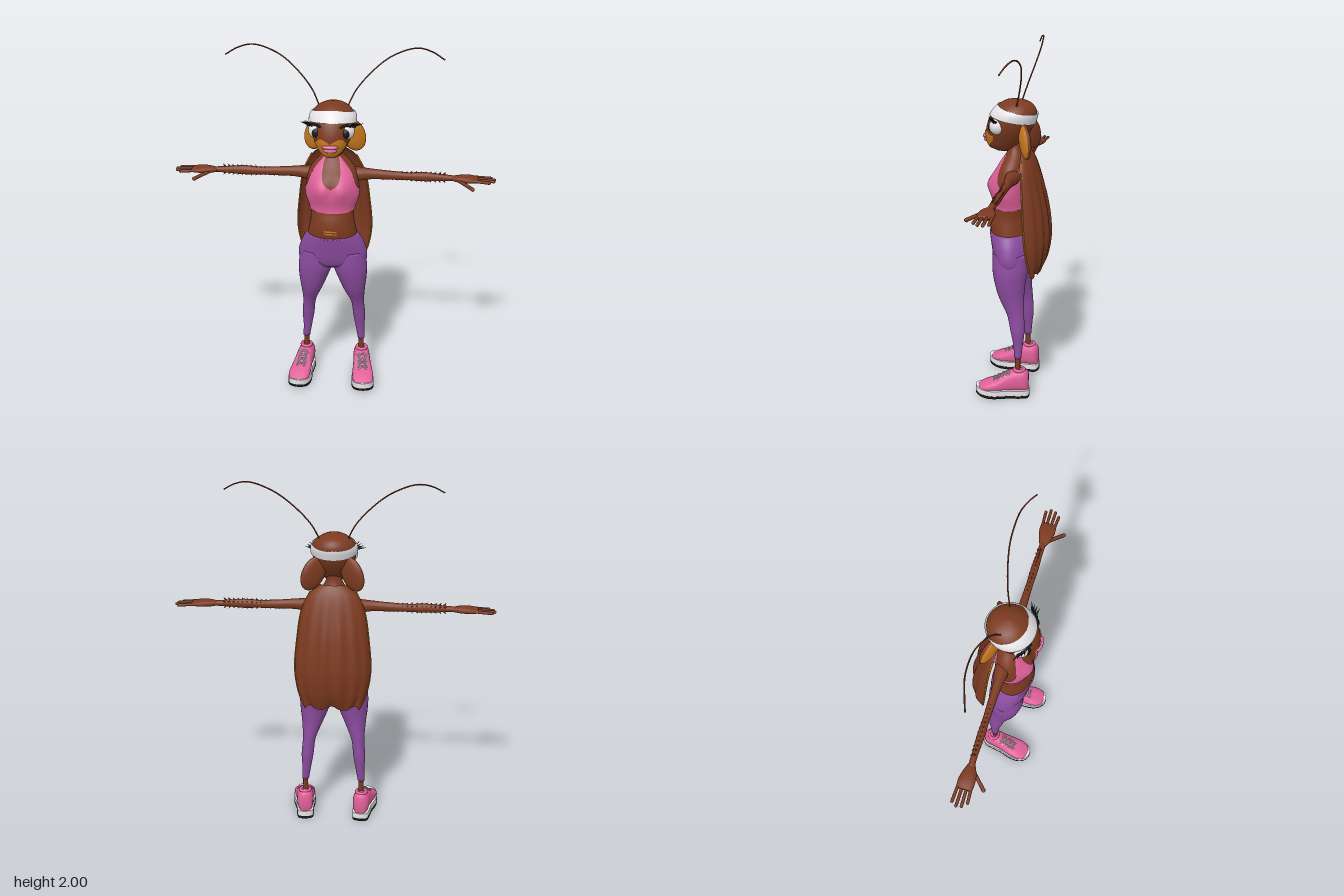
import * as THREE from 'three';

const mat = (name, color, side = THREE.FrontSide) => {
  const m = new THREE.MeshStandardMaterial({ color, side });
  m.name = name;
  return m;
};
const V = (x, y, z) => new THREE.Vector3(x, y, z);

// Smooth interpolation through rows of [position, ...values]
function sample(keys, t) {
  const n = keys.length;
  let i = 0;
  while (i < n - 2 && t > keys[i + 1][0]) i++;
  const a = keys[i], b = keys[i + 1], p = keys[Math.max(0, i - 1)], q = keys[Math.min(n - 1, i + 2)];
  const h = b[0] - a[0], u = THREE.MathUtils.clamp((t - a[0]) / h, 0, 1);
  return a.slice(1).map((v, k) => {
    const ma = (b[k + 1] - p[k + 1]) / (b[0] - p[0]), mb = (q[k + 1] - a[k + 1]) / (q[0] - a[0]);
    const u2 = u * u, u3 = u2 * u;
    return (2 * u3 - 3 * u2 + 1) * v + (u3 - 2 * u2 + u) * h * ma +
      (3 * u2 - 2 * u3) * b[k + 1] + (u3 - u2) * h * mb;
  });
}

// Body surface from keys [y, centreX, radiusX, zBack, zFront]; angle PI/2 is the front
const surface = (keys, p = 1, bump = null) => (y, a, off = 0) => {
  const [cx, rx, zb, zf] = sample(keys, y);
  const pw = (c) => Math.sign(c) * Math.abs(c) ** p;
  const v = V(cx + (rx + off) * pw(Math.cos(a)), y, (zb + zf) / 2 + ((zf - zb) / 2 + off) * pw(Math.sin(a)));
  if (bump) v.z += bump(v, Math.sin(a));
  return v;
};

function grid(fn, nu, nv, closed) {
  const pos = [], idx = [], cols = closed ? nv : nv + 1;
  for (let i = 0; i <= nu; i++) for (let j = 0; j < cols; j++) pos.push(...fn(i / nu, j / nv, i).toArray());
  for (let i = 0; i < nu; i++) for (let j = 0; j < nv; j++) {
    const k = (j + 1) % cols, a = i * cols + j, b = a + cols, c = i * cols + k, d = c + cols;
    idx.push(a, b, c, c, b, d);
  }
  const g = new THREE.BufferGeometry();
  g.setAttribute('position', new THREE.Float32BufferAttribute(pos, 3));
  g.setIndex(idx);
  g.computeVertexNormals();
  return g;
}

// Closed, capped body
function loft(keys, nu = 24, nv = 24, p = 1, bump = null) {
  const s = surface(keys, p, bump), y0 = keys[0][0], y1 = keys[keys.length - 1][0];
  return grid((u, v, i) => {
    const y = y0 + (y1 - y0) * THREE.MathUtils.clamp((i - 1) / (nu - 2), 0, 1);
    if (i > 0 && i < nu) return s(y, v * Math.PI * 2);
    return s(y, 0).add(s(y, Math.PI)).multiplyScalar(0.5);
  }, nu, nv, true);
}

// Thin layer lying on a surface between two edge curves
const layer = (s, a0, a1, low, high, off, nu = 10, nv = 64) => grid((u, v) => {
  const a = a0 + (a1 - a0) * v, lo = low(a);
  return s(lo + (high(a) - lo) * u, a, off);
}, nu, nv, false);

function add(parent, name, geo, material) {
  const m = new THREE.Mesh(geo, material);
  m.name = name;
  parent.add(m);
  return m;
}
const ball = (x, y, z, rx, ry, rz) => new THREE.SphereGeometry(1, 24, 16).scale(rx, ry, rz).translate(x, y, z);
function between(geo, a, b) {
  const q = new THREE.Quaternion().setFromUnitVectors(V(0, 1, 0), b.clone().sub(a).normalize());
  return geo.applyQuaternion(q).translate((a.x + b.x) / 2, (a.y + b.y) / 2, (a.z + b.z) / 2);
}
const rod = (a, b, r) => between(new THREE.CapsuleGeometry(r, a.distanceTo(b), 4, 10), a, b);
const spike = (a, b, r) => between(new THREE.ConeGeometry(r, a.distanceTo(b), 6), a, b);
const tube = (pts, r, n = 24) => new THREE.TubeGeometry(new THREE.CatmullRomCurve3(pts), n, r, 6);

// Copy of a group reflected across x = 0
function mirrored(group, name) {
  const out = new THREE.Group();
  out.name = name;
  group.updateMatrixWorld(true);
  group.traverse((m) => {
    if (!m.isMesh) return;
    const g = m.geometry.clone().applyMatrix4(m.matrixWorld).scale(-1, 1, 1);
    const src = g.index ? Array.from(g.index.array) : Array.from({ length: g.attributes.position.count }, (_, i) => i);
    for (let i = 0; i < src.length; i += 3) [src[i], src[i + 1]] = [src[i + 1], src[i]];
    g.setIndex(src);
    add(out, m.name, g, m.material);
  });
  return out;
}

export function createModel() {
  const model = new THREE.Group();
  const brown = mat('brown', 0x7c3a20, THREE.DoubleSide), orange = mat('orange', 0xc87a1e, THREE.DoubleSide);
  const pink = mat('pink', 0xe0609a, THREE.DoubleSide), purple = mat('purple', 0x8b4b9e);
  const white = mat('white', 0xe6e4e6, THREE.DoubleSide), black = mat('black', 0x1a1818), lip = mat('lipPink', 0xd9709f);
  const PI = Math.PI;

  // Torso and neck
  const torsoKeys = [[0.9, 0, 0.15, -0.08, 0.13], [1.0, 0, 0.132, -0.07, 0.145], [1.06, 0, 0.121, -0.06, 0.138],
    [1.12, 0, 0.122, -0.058, 0.122], [1.2, 0, 0.144, -0.06, 0.132], [1.28, 0, 0.143, -0.065, 0.125],
    [1.34, 0, 0.128, -0.062, 0.1], [1.38, 0, 0.1, -0.055, 0.078], [1.42, 0, 0.062, -0.045, 0.05],
    [1.46, 0, 0.042, -0.035, 0.042], [1.52, 0, 0.04, -0.035, 0.045]];
  const bust = (v, s) => s <= 0 ? 0 : 0.024 * s *
    Math.exp(-(((Math.abs(v.x) - 0.065) / 0.05) ** 2) - ((v.y - 1.245) / 0.05) ** 2);
  const torso = surface(torsoKeys, 1, bust);
  add(model, 'torso', loft(torsoKeys, 48, 40, 1, bust), brown);

  // Sports top: hem and scooped neckline with armholes and straps
  const neckline = [[0, 1.235], [0.45, 1.27], [0.8, 1.4], [1.05, 1.415], [1.25, 1.3], [PI / 2, 1.255]];
  const backline = [[0, 1.235], [0.45, 1.27], [0.8, 1.39], [1.1, 1.405], [1.3, 1.36], [PI / 2, 1.34]];
  const topEdge = (a) => sample(Math.sin(a) > 0 ? neckline : backline, Math.asin(Math.min(1, Math.abs(Math.sin(a)))))[0];
  add(model, 'sportsTop', layer(torso, 0, PI * 2, () => 1.112, topEdge, 0.006, 24, 96), pink);
  for (const y of [0.995, 1.01])
    add(model, 'bellyMark', layer(torso, PI / 2 - 0.26, PI / 2 + 0.26, () => y - 0.004, () => y + 0.004, 0.004, 1, 12), orange);

  // Leggings hips
  add(model, 'leggingsHips', loft([[0.75, 0, 0.1, -0.06, 0.06], [0.775, 0, 0.175, -0.085, 0.1],
    [0.82, 0, 0.197, -0.095, 0.122], [0.9, 0, 0.18, -0.092, 0.138], [0.965, 0, 0.145, -0.08, 0.149]], 24, 40), purple);

  // Head
  const headKeys = [[1.43, 0, 0.03, 0.03, 0.11], [1.45, 0, 0.058, 0, 0.145], [1.5, 0, 0.088, -0.05, 0.165],
    [1.55, 0, 0.11, -0.085, 0.165], [1.6, 0, 0.121, -0.105, 0.152], [1.65, 0, 0.118, -0.113, 0.127],
    [1.69, 0, 0.085, -0.09, 0.09], [1.71, 0, 0.048, -0.05, 0.055], [1.718, 0, 0.015, -0.012, 0.02]];
  const head = surface(headKeys);
  add(model, 'head', loft(headKeys, 40, 40), brown);
  const bandLow = (a) => 1.61 + 0.024 * Math.sin(a);
  add(model, 'headband', layer(head, 0, PI * 2, bandLow, (a) => bandLow(a) + 0.056, 0.008), white);
  add(model, 'muzzle', layer(head, PI / 2 - 1.05, PI / 2 + 1.05, (a) => 1.435 + 0.06 * Math.abs((a - PI / 2) / 1.05) ** 2,
    (a) => 1.525 + 0.025 * Math.sin(Math.min(1, Math.abs(a - PI / 2) / 0.9) * PI), 0.005, 10, 24), orange);
  add(model, 'upperLip', ball(0, 1.51, 0.165, 0.045, 0.012, 0.02), lip);
  add(model, 'lowerLip', ball(0, 1.49, 0.16, 0.036, 0.014, 0.02), lip);

  // Folded wings: ribbed shell hanging from the shoulders
  const wingKeys = [[0.74, 0.16, -0.115, -0.145], [0.82, 0.192, -0.1, -0.178], [0.95, 0.213, -0.085, -0.196],
    [1.13, 0.2, -0.072, -0.178], [1.3, 0.172, -0.06, -0.135], [1.4, 0.125, -0.048, -0.1], [1.44, 0.07, -0.04, -0.075]];
  const wing = (y, a) => {
    const [w, zs, zb] = sample(wingKeys, y);
    const rib = 0.006 * Math.cos(a * 14) * THREE.MathUtils.clamp((1.4 - y) * 3, 0, 1);
    const drop = y < 0.82 ? 0.012 * Math.cos(a * 7) * (0.82 - y) / 0.08 : 0;
    return V(w * Math.sin(a), y + drop, zs + (zb - zs) * Math.cos(a) + rib * Math.cos(a));
  };
  add(model, 'wings', grid((u, v) => wing(0.74 + 0.7 * u, (v - 0.5) * PI), 30, 72, false), brown);

  const left = new THREE.Group();
  left.name = 'leftSide';

  add(left, 'wingEdge', tube([0.75, 0.82, 0.95, 1.13, 1.3, 1.4].map((y) => wing(y, PI / 2)), 0.005), orange);

  // Eye and lashes
  add(left, 'eye', ball(0.08, 1.578, 0.087, 0.045, 0.046, 0.045), white);
  add(left, 'pupil', ball(0.079, 1.574, 0.112, 0.026, 0.03, 0.027), black);
  add(left, 'lashLine', tube([V(0.04, 1.6, 0.133), V(0.07, 1.618, 0.128), V(0.1, 1.618, 0.115), V(0.127, 1.605, 0.09)], 0.007, 12), black);
  for (let i = 0; i < 4; i++)
    add(left, 'eyelash', spike(V(0.1 + i * 0.009, 1.61, 0.11 - i * 0.008),
      V(0.135 + i * 0.012, 1.645 - i * 0.009, 0.125 - i * 0.018), 0.007), black);

  // Antenna
  add(left, 'antenna', tube([V(0.075, 1.68, -0.015), V(0.12, 1.77, -0.04), V(0.21, 1.873, -0.068), V(0.31, 1.95, -0.083),
    V(0.44, 1.996, -0.075), V(0.52, 1.982, -0.052), V(0.585, 1.947, -0.03)], 0.004, 40), brown);

  // Rounded lobe behind the head, orange inside
  const lobe = new THREE.Group();
  lobe.name = 'headLobe';
  lobe.position.set(0.105, 1.507, -0.07);
  lobe.rotation.set(0, 0.5, 0.5);
  add(lobe, 'lobeOutside', ball(0, 0, 0, 0.068, 0.1, 0.024), brown);
  add(lobe, 'lobeInside', ball(0, 0, 0.006, 0.064, 0.095, 0.022), orange);
  left.add(lobe);

  // Arm with forearm bristles
  const along = (keys, p) => loft(keys, 28, 18, p).rotateZ(-PI / 2);
  add(left, 'arm', along([[0.05, -1.305, 0.04, -0.045, 0.04], [0.13, -1.305, 0.04, -0.042, 0.038], [0.21, -1.308, 0.03, -0.026, 0.026],
    [0.32, -1.304, 0.025, -0.022, 0.02], [0.42, -1.302, 0.022, -0.02, 0.018], [0.5, -1.303, 0.026, -0.022, 0.02],
    [0.6, -1.302, 0.019, -0.018, 0.016], [0.68, -1.3, 0.014, -0.018, 0.018]]), brown);
  for (let i = 0; i < 14; i++) for (const d of [V(0, 1, 0), V(0, -1, 0), V(0, 0.5, -0.7)]) {
    const p = V(0.27 + i * 0.026, 1.303, 0);
    const r = i > 5 ? 0.033 : 0.028;
    add(left, 'bristle', spike(p.clone().addScaledVector(d, 0.016), p.clone().add(V(0.012, 0, 0)).addScaledVector(d, r), 0.007), brown);
  }

  // Hand
  add(left, 'palm', along([[0.65, -1.3, 0.012, -0.016, 0.016], [0.7, -1.3, 0.018, -0.034, 0.038],
    [0.75, -1.3, 0.017, -0.045, 0.046], [0.795, -1.298, 0.011, -0.042, 0.042]], 0.8), brown);
  [[-0.035, 0.868], [-0.012, 0.885], [0.012, 0.88], [0.034, 0.855]].forEach(([z, x]) =>
    add(left, 'finger', rod(V(0.775, 1.3, z), V(x, 1.294, z * 1.15), 0.0085), brown));
  add(left, 'thumb', tube([V(0.69, 1.295, 0.02), V(0.73, 1.285, 0.06), V(0.765, 1.275, 0.095)], 0.011, 10), brown);
  add(left, 'thumbTip', ball(0.765, 1.275, 0.095, 0.011, 0.011, 0.011), brown);

  // Leg
  add(left, 'leggingsLeg', loft([[0.24, 0.165, 0.02, -0.062, -0.022], [0.32, 0.157, 0.026, -0.07, -0.014], [0.4, 0.152, 0.035, -0.078, 0.002],
    [0.5, 0.142, 0.038, -0.074, 0.025], [0.6, 0.124, 0.062, -0.07, 0.075], [0.68, 0.112, 0.083, -0.075, 0.1],
    [0.76, 0.1, 0.097, -0.086, 0.115], [0.86, 0.095, 0.085, -0.085, 0.115]], 40, 28), purple);
  add(left, 'ankle', rod(V(0.165, 0.13, -0.042), V(0.165, 0.245, -0.042), 0.015), brown);

  // Shoe: length runs along z, toe turned slightly out
  const shoe = new THREE.Group();
  shoe.name = 'shoe';
  shoe.position.set(0.174, 0, 0);
  shoe.rotation.y = 0.13;
  add(shoe, 'shoeUpper', loft([[-0.106, 0, 0.025, -0.15, -0.04], [-0.085, 0, 0.044, -0.172, -0.035], [-0.03, 0, 0.049, -0.168, -0.035],
    [0.02, 0, 0.052, -0.148, -0.035], [0.08, 0, 0.06, -0.112, -0.035], [0.14, 0, 0.06, -0.087, -0.037],
    [0.18, 0, 0.042, -0.066, -0.04], [0.194, 0, 0.02, -0.055, -0.044]], 30, 28, 0.8).rotateX(PI / 2), pink);
  const half = [[0, -0.112], [0.04, -0.1], [0.05, -0.05], [0.052, 0.01], [0.064, 0.08], [0.062, 0.14], [0.04, 0.185], [0, 0.202]];
  const outline = new THREE.Shape(new THREE.SplineCurve([...half, ...half.slice(1, -1).reverse().map(([x, z]) => [-x, z]), half[0]]
    .map(([x, z]) => new THREE.Vector2(x, z))).getPoints(48));
  const sole = (y0, y1) => {
    const g = new THREE.ExtrudeGeometry(outline, { depth: y1 - y0, bevelEnabled: false }).rotateX(PI / 2).translate(0, y1, 0);
    const p = g.attributes.position;
    for (let i = 0; i < p.count; i++) p.setY(i, p.getY(i) + 0.018 * Math.max(0, (p.getZ(i) - 0.1) / 0.1) ** 2);
    return g;
  };
  add(shoe, 'midsole', sole(0.016, 0.05), white);
  add(shoe, 'outsole', sole(0.002, 0.018).scale(1.01, 1, 1), black);
  add(shoe, 'shoeCollar', new THREE.TorusGeometry(0.028, 0.01, 8, 24).rotateX(PI / 2).translate(0, 0.168, -0.052), pink);
  for (let i = 0; i < 4; i++) {
    const z = 0.005 + i * 0.025, y = 0.156 - i * 0.0135;
    for (const s of [-1, 1])
      add(shoe, 'lace', tube([V(-0.032 * s, y - 0.012, z), V(0, y + 0.004, z + 0.009), V(0.032 * s, y - 0.022, z + 0.02)], 0.004, 8), white);
  }
  left.add(shoe);

  model.add(left, mirrored(left, 'rightSide'));
  return model;
}
